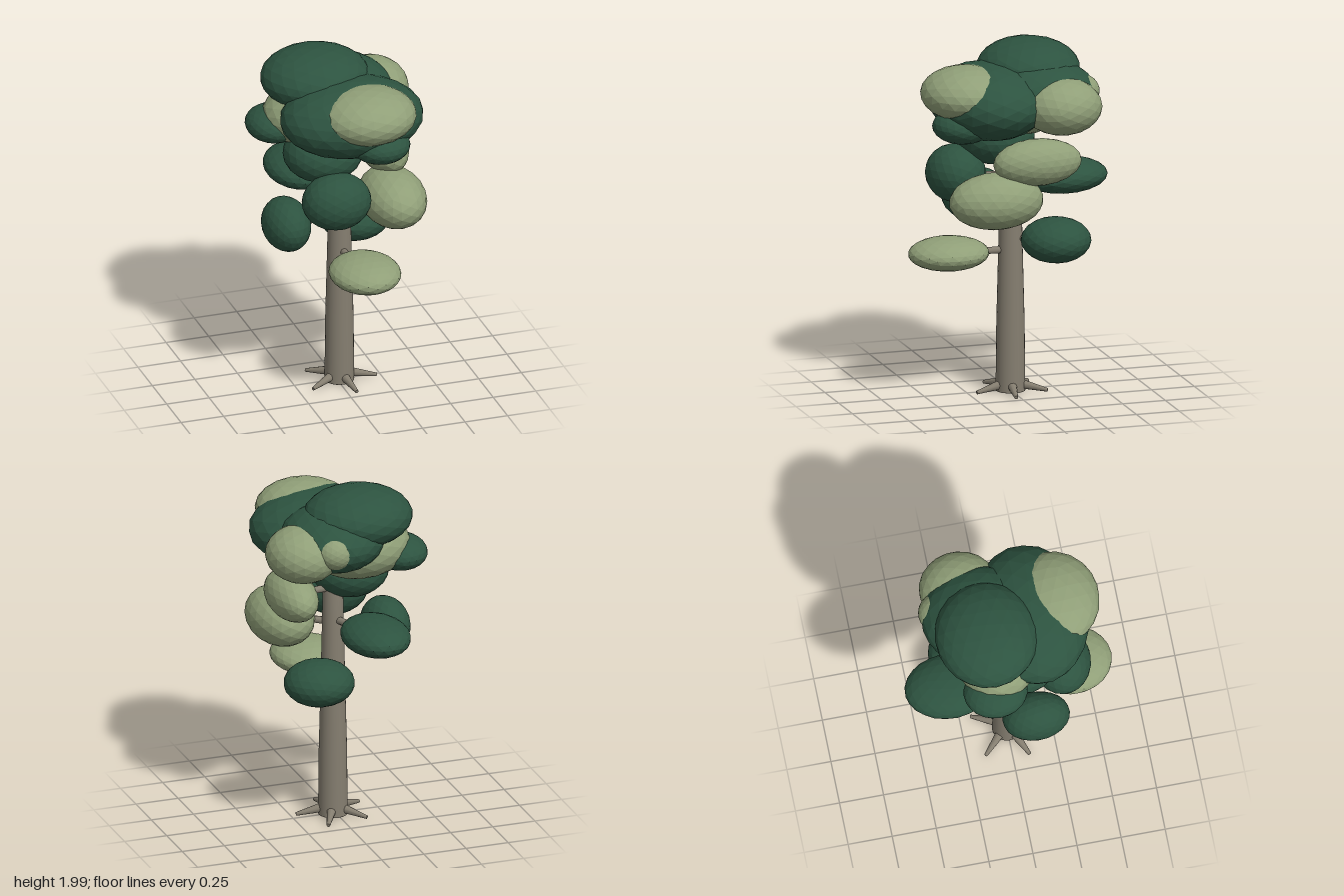
import * as THREE from 'three';

export function createModel() {
  const tree = new THREE.Group();
  tree.name = 'tree';
  const bark = new THREE.MeshStandardMaterial({ color: 0x857e70 });
  const dark = new THREE.MeshStandardMaterial({ color: 0x2d5340, flatShading: true });
  const light = new THREE.MeshStandardMaterial({ color: 0x909f78, flatShading: true });
  const up = new THREE.Vector3(0, 1, 0);

  // Tapered round limb between two points
  function limb(name, from, to, r0, r1, sides = 10) {
    const a = new THREE.Vector3(...from), b = new THREE.Vector3(...to);
    const dir = b.clone().sub(a);
    const mesh = new THREE.Mesh(new THREE.CylinderGeometry(r1, r0, dir.length(), sides), bark);
    mesh.name = name;
    mesh.position.copy(a).add(b).multiplyScalar(0.5);
    mesh.quaternion.setFromUnitVectors(up, dir.normalize());
    tree.add(mesh);
  }

  // Trunk with a rounded tip
  const tx = 0.015;
  const trunk = new THREE.Mesh(new THREE.LatheGeometry([
    [0, 0.01], [0.083, 0.01], [0.083, 0.011], [0.079, 0.4], [0.069, 0.8],
    [0.06, 1.2], [0.055, 1.46], [0.035, 1.5], [0, 1.51],
  ].map(([r, y]) => new THREE.Vector2(r, y)), 24), bark);
  trunk.name = 'trunk';
  trunk.position.x = tx;
  tree.add(trunk);

  // Five roots spread evenly around the base
  for (let i = 0; i < 5; i++) {
    const a = THREE.MathUtils.degToRad(9 + 72 * i), c = Math.cos(a), s = Math.sin(a);
    limb('root', [tx + 0.05 * c, 0.05, 0.05 * s], [tx + 0.21 * c, 0.018, 0.21 * s], 0.028, 0.01);
  }

  // Leaf clumps: material, centre, radii
  const clumps = [
    [light, [0.04, 0.83, 0.37], [0.2, 0.092, 0.23]],
    [dark, [0.175, 0.895, -0.215], [0.2, 0.127, 0.197]],
    [dark, [-0.332, 1.065, 0.1], [0.134, 0.15, 0.19]],
    [light, [0.27, 1.17, 0.165], [0.185, 0.16, 0.27]],
    [light, [0.288, 1.38, -0.07], [0.135, 0.133, 0.256]],
    [dark, [-0.11, 1.19, -0.35], [0.19, 0.1, 0.252]],
    [dark, [-0.098, 1.253, 0.285], [0.197, 0.163, 0.168]],
    [dark, [-0.1, 1.45, 0.05], [0.224, 0.16, 0.22]],
    [dark, [0.04, 1.69, 0.14], [0.41, 0.212, 0.325]],
    [dark, [0.145, 1.585, 0.32], [0.17, 0.1, 0.172]],
    [light, [0.085, 1.755, 0.28], [0.277, 0.153, 0.257]],
    [dark, [-0.083, 1.835, -0.135], [0.31, 0.166, 0.288]],
    [dark, [0.075, 1.73, -0.15], [0.29, 0.18, 0.32]],
    [light, [0.275, 1.685, -0.22], [0.208, 0.16, 0.225]],
    [light, [0.135, 1.73, -0.36], [0.115, 0.1, 0.118]],
    [light, [-0.1, 1.64, -0.09], [0.3, 0.183, 0.25]],
    [dark, [-0.33, 1.585, -0.13], [0.157, 0.098, 0.18]],
  ];
  clumps.forEach(([material, centre, radii], i) => {
    const geometry = new THREE.IcosahedronGeometry(1, 3).rotateY(i * 0.9);
    const mesh = new THREE.Mesh(geometry, material);
    mesh.name = 'leafClump';
    mesh.position.set(...centre);
    mesh.scale.set(...radii);
    tree.add(mesh);
    // Branch from the trunk into each of the lower clumps
    if (i < 7) {
      const drop = i === 2 ? 0.05 : 0.01;
      const [x, y, z] = centre;
      limb('branch', [tx, y - drop, 0], [x, y, z], 0.023, 0.014, 8);
    }
  });
  return tree;
}
